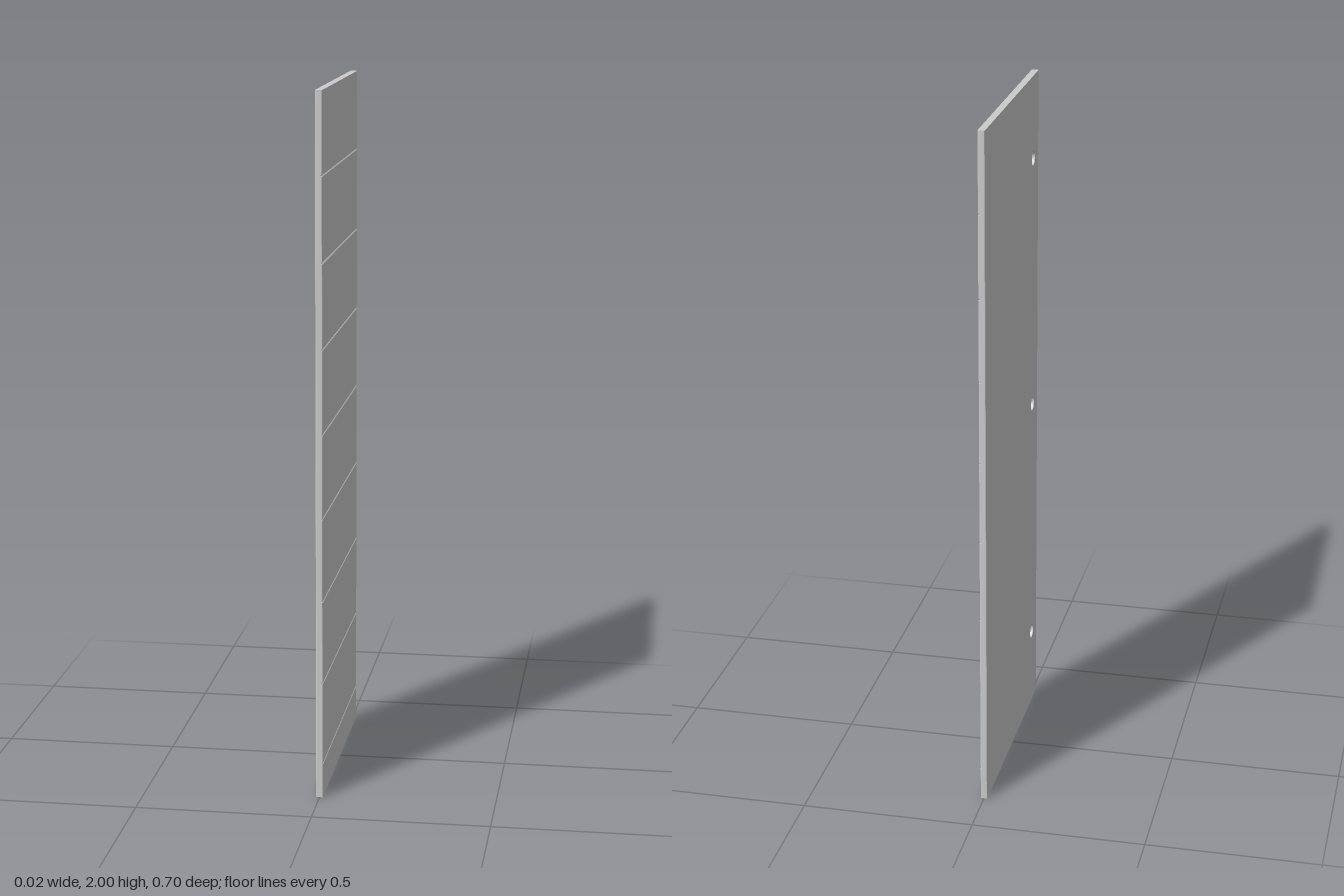
import * as THREE from 'three';

const H = 2, T = 0.01, D = 0.348, C = 0.003; // height, half thickness, half depth, edge radius
const GROOVE_DEPTH = 0.003, GROOVE_HALF = 0.003;

const material = new THREE.MeshStandardMaterial({ color: 0xcccccc, side: THREE.DoubleSide });

// Horizontal outline [x, z] with rounded vertical edges, face pushed in by inset; open along the back
function outline(inset) {
  const f = T - inset, pts = [];
  const corner = (cx, cz, start) => {
    for (let i = 0; i <= 3; i++) {
      const a = start - (i / 3) * Math.PI / 2;
      pts.push([cx + C * Math.cos(a), cz - C * Math.sin(a)]);
    }
  };
  corner(-T + C, -D + C, Math.PI);
  corner(f - C, -D + C, Math.PI / 2);
  corner(f - C, D - C, 0);
  corner(-T + C, D - C, -Math.PI / 2);
  return pts;
}

// Grooved face and rounded side edges, lofted upwards
function grooveLoft() {
  const rows = [[0, 0]];
  for (let i = 0; i < 8; i++) {
    const y = 0.101 + 0.2386 * i;
    rows.push([y - GROOVE_HALF, 0], [y, GROOVE_DEPTH], [y + GROOVE_HALF, 0]);
  }
  rows.push([H, 0]);
  const pos = [], idx = [];
  rows.forEach(([y, inset]) => outline(inset).forEach(([x, z]) => pos.push(x, y, z)));
  const n = outline(0).length;
  for (let r = 0; r < rows.length - 1; r++) {
    for (let i = 0; i < n - 1; i++) {
      const a = r * n + i, b = a + 1, c = a + n, d = c + 1;
      idx.push(a, c, d, a, d, b);
    }
  }
  const g = new THREE.BufferGeometry();
  g.setAttribute('position', new THREE.Float32BufferAttribute(pos, 3));
  g.setIndex(idx);
  const flat = g.toNonIndexed();
  flat.computeVertexNormals();
  return flat;
}

export function createModel() {
  const group = new THREE.Group();
  group.name = 'doorPanel';
  const add = (name, geometry) => {
    const mesh = new THREE.Mesh(geometry, material);
    mesh.name = name;
    group.add(mesh);
    return mesh;
  };

  add('groovedFace', grooveLoft());

  // End caps
  const cap = (sign) => new THREE.ShapeGeometry(
    new THREE.Shape(outline(0).map(([x, z]) => new THREE.Vector2(x, -sign * z)))
  ).rotateX(-sign * Math.PI / 2);
  add('topEdge', cap(1)).position.y = H;
  add('bottomEdge', cap(-1));

  // Plain back face with three hinge cup holes
  const w = D - C, cupZ = 0.277, cupR = 0.021, cupDepth = 0.012;
  const back = new THREE.Shape([[-w, 0], [w, 0], [w, H], [-w, H]].map(p => new THREE.Vector2(...p)));
  const cupHeights = [0.24, 1, 1.757];
  for (const y of cupHeights) {
    back.holes.push(new THREE.Path().absarc(cupZ, y, cupR, 0, Math.PI * 2, true));
  }
  add('backFace', new THREE.ShapeGeometry(back, 16).rotateY(-Math.PI / 2)).position.x = -T;

  // Hinge cups sunk into the back
  for (const y of cupHeights) {
    const wall = new THREE.CylinderGeometry(cupR, cupR, cupDepth, 32, 1, true).rotateZ(Math.PI / 2);
    add('hingeCupWall', wall).position.set(-T + cupDepth / 2, y, cupZ);
    const floor = new THREE.CircleGeometry(cupR, 32).rotateY(-Math.PI / 2);
    add('hingeCupFloor', floor).position.set(-T + cupDepth, y, cupZ);
  }
  return group;
}
